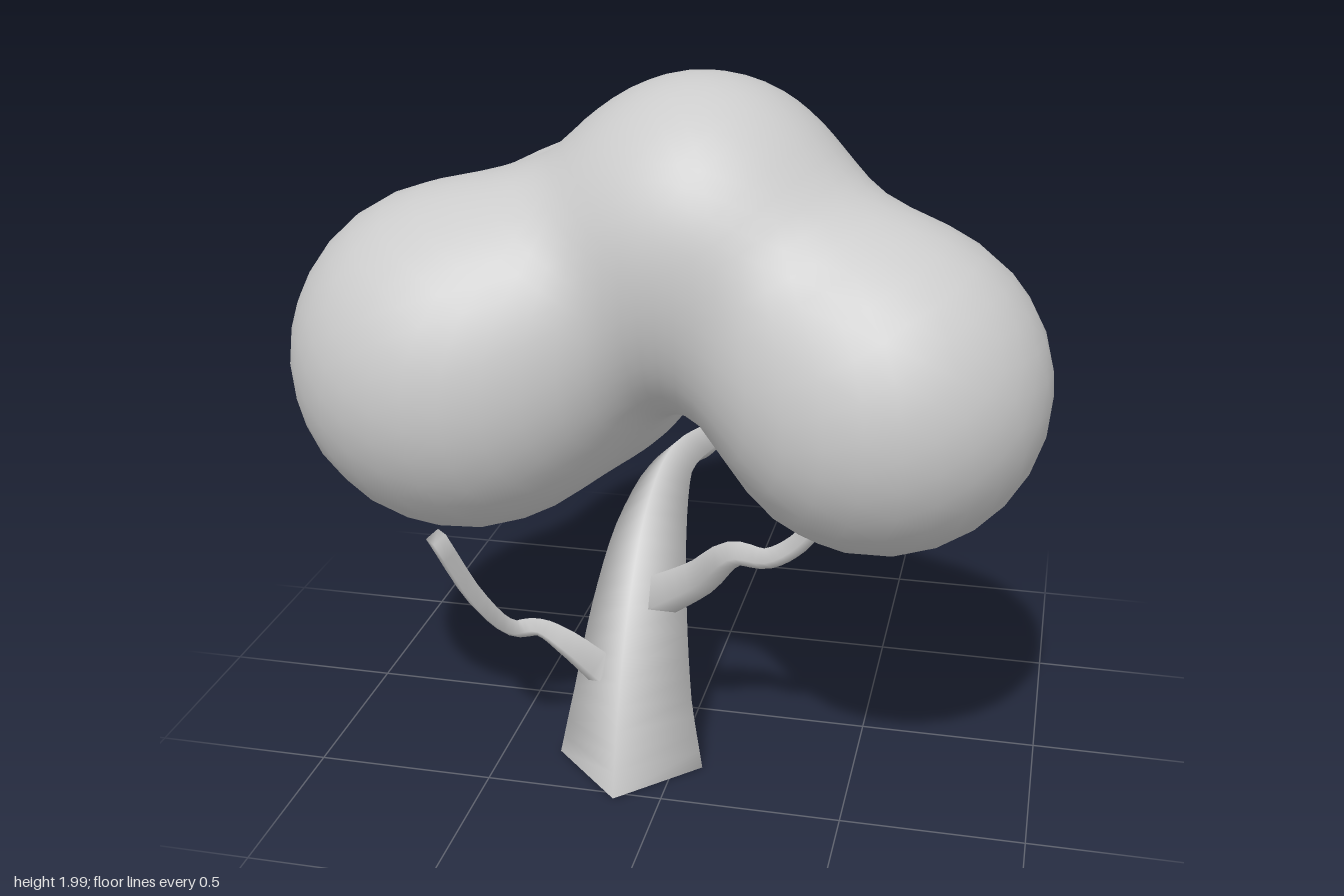
import * as THREE from 'three';
import { mergeVertices } from 'three/addons/utils/BufferGeometryUtils.js';

const grey = () => new THREE.MeshStandardMaterial({ color: 0xcccccc, side: THREE.DoubleSide });

// Square-section limb swept along [x, y, z, radius] stations, closed at the tip
function limb(name, stations, side, steps) {
  const curve = new THREE.CatmullRomCurve3(stations.map(s => new THREE.Vector3(s[0], s[1], s[2])));
  const positions = [], index = [];
  for (let i = 0; i <= steps; i++) {
    const t = i / steps, f = t * (stations.length - 1);
    const a = Math.min(Math.floor(f), stations.length - 2);
    const r = THREE.MathUtils.lerp(stations[a][3], stations[a + 1][3], f - a);
    const p = curve.getPoint(t), d = curve.getTangent(t);
    const u = side.clone().addScaledVector(d, -side.dot(d)).normalize();
    const v = new THREE.Vector3().crossVectors(d, u);
    for (let k = 0; k < 4; k++) {
      const w = k * Math.PI / 2;
      const q = p.clone().addScaledVector(u, r * Math.cos(w)).addScaledVector(v, r * Math.sin(w));
      if (i === 0 && name === 'trunk') q.y = 0;
      positions.push(q.x, q.y, q.z);
      if (i < steps) {
        const b = i * 4 + k, c = i * 4 + (k + 1) % 4;
        index.push(b, c, c + 4, b, c + 4, b + 4);
      }
    }
  }
  const e = steps * 4;
  index.push(e, e + 1, e + 2, e, e + 2, e + 3);
  const geo = new THREE.BufferGeometry();
  geo.setAttribute('position', new THREE.Float32BufferAttribute(positions, 3));
  geo.setIndex(index);
  geo.computeVertexNormals();
  const mesh = new THREE.Mesh(geo, grey());
  mesh.name = name;
  return mesh;
}

// Foliage lobes: centre and radius
const lobe = (x, y, z, r) => ({ c: new THREE.Vector3(x, y, z), r });
const frontRight = lobe(-0.54, 1.235, 0.39, 0.425);
const frontLeft = lobe(0.56, 1.25, 0.445, 0.405);
const crown = lobe(0.08, 1.59, 0.31, 0.352);
const back = lobe(-0.12, 1.275, -0.585, 0.262);
const shoulder = lobe(0.13, 1.41, -0.09, 0.325);
const rearRight = lobe(-0.39, 1.22, -0.1, 0.36);
const rear = lobe(-0.36, 1.24, -0.36, 0.3);
const under = lobe(-0.33, 1.2, 0.12, 0.36);
const upper = lobe(-0.27, 1.42, 0, 0.32);
const lobes = [frontRight, frontLeft, crown, back, shoulder, rearRight, rear, under, upper];

// Tapered bridges that fill the hollows between lobes
const bridges = [
  [crown, frontRight], [crown, frontLeft], [crown, back], [rear, back], [rear, frontRight], [shoulder, back],
];

// Smoothly blended distance to lobes and bridges
const axis = new THREE.Vector3(), rel = new THREE.Vector3();
function field(p) {
  const k = 0.16;
  let d = 10;
  const blend = s => {
    const h = Math.max(k - Math.abs(d - s), 0) / k;
    d = Math.min(d, s) - h * h * k / 4;
  };
  for (const { c, r } of lobes) blend(p.distanceTo(c) - r);
  for (const [a, b] of bridges) {
    axis.subVectors(b.c, a.c);
    rel.subVectors(p, a.c);
    const t = THREE.MathUtils.clamp(rel.dot(axis) / axis.lengthSq(), 0, 1);
    blend(rel.addScaledVector(axis, -t).length() - THREE.MathUtils.lerp(a.r, b.r, t) + 0.04);
  }
  return d;
}

// Pull a sphere inward along its rays until it rests on the blended lobes
function foliage() {
  let geo = new THREE.IcosahedronGeometry(1, 12);
  geo.deleteAttribute('uv');
  geo.deleteAttribute('normal');
  geo = mergeVertices(geo, 1e-4);
  const centre = new THREE.Vector3(0, 1.4, 0.16);
  const pos = geo.attributes.position, dir = new THREE.Vector3(), p = new THREE.Vector3();
  for (let i = 0; i < pos.count; i++) {
    dir.fromBufferAttribute(pos, i).normalize();
    let t = 1.8;
    for (let n = 0; n < 120; n++) {
      const d = field(p.copy(centre).addScaledVector(dir, t));
      if (d < 0.0005) break;
      t -= d * 0.9;
    }
    pos.setXYZ(i, p.x, p.y, p.z);
  }
  geo.computeVertexNormals();
  const mesh = new THREE.Mesh(geo, grey());
  mesh.name = 'foliage';
  return mesh;
}

export function createModel() {
  const tree = new THREE.Group();
  tree.name = 'tree';

  // Trunk leans backward and ends in an upturned tip
  tree.add(limb('trunk', [
    [-0.13, 0, 0.32, 0.21], [-0.13, 0.2, 0.29, 0.172], [-0.13, 0.43, 0.2, 0.139],
    [-0.125, 0.62, 0.07, 0.105], [-0.11, 0.73, -0.12, 0.066], [-0.07, 0.735, -0.3, 0.055],
    [-0.05, 0.71, -0.45, 0.05], [-0.07, 0.76, -0.56, 0.045], [-0.12, 0.88, -0.635, 0.035],
  ], new THREE.Vector3(1, 0, 0), 32));

  // Side branches
  tree.add(limb('leftBranch', [
    [-0.09, 0.465, 0.21, 0.068], [0.06, 0.585, 0.29, 0.055], [0.18, 0.72, 0.39, 0.038],
    [0.28, 0.735, 0.43, 0.03], [0.36, 0.79, 0.44, 0.028], [0.43, 0.89, 0.46, 0.025],
  ], new THREE.Vector3(0, 0, 1), 20));
  tree.add(limb('rightBranch', [
    [-0.21, 0.29, 0.33, 0.055], [-0.3, 0.38, 0.36, 0.042], [-0.38, 0.42, 0.36, 0.028],
    [-0.45, 0.42, 0.38, 0.028], [-0.52, 0.54, 0.46, 0.03], [-0.595, 0.77, 0.56, 0.03],
  ], new THREE.Vector3(0, 0, 1), 20));

  tree.add(foliage());
  return tree;
}
